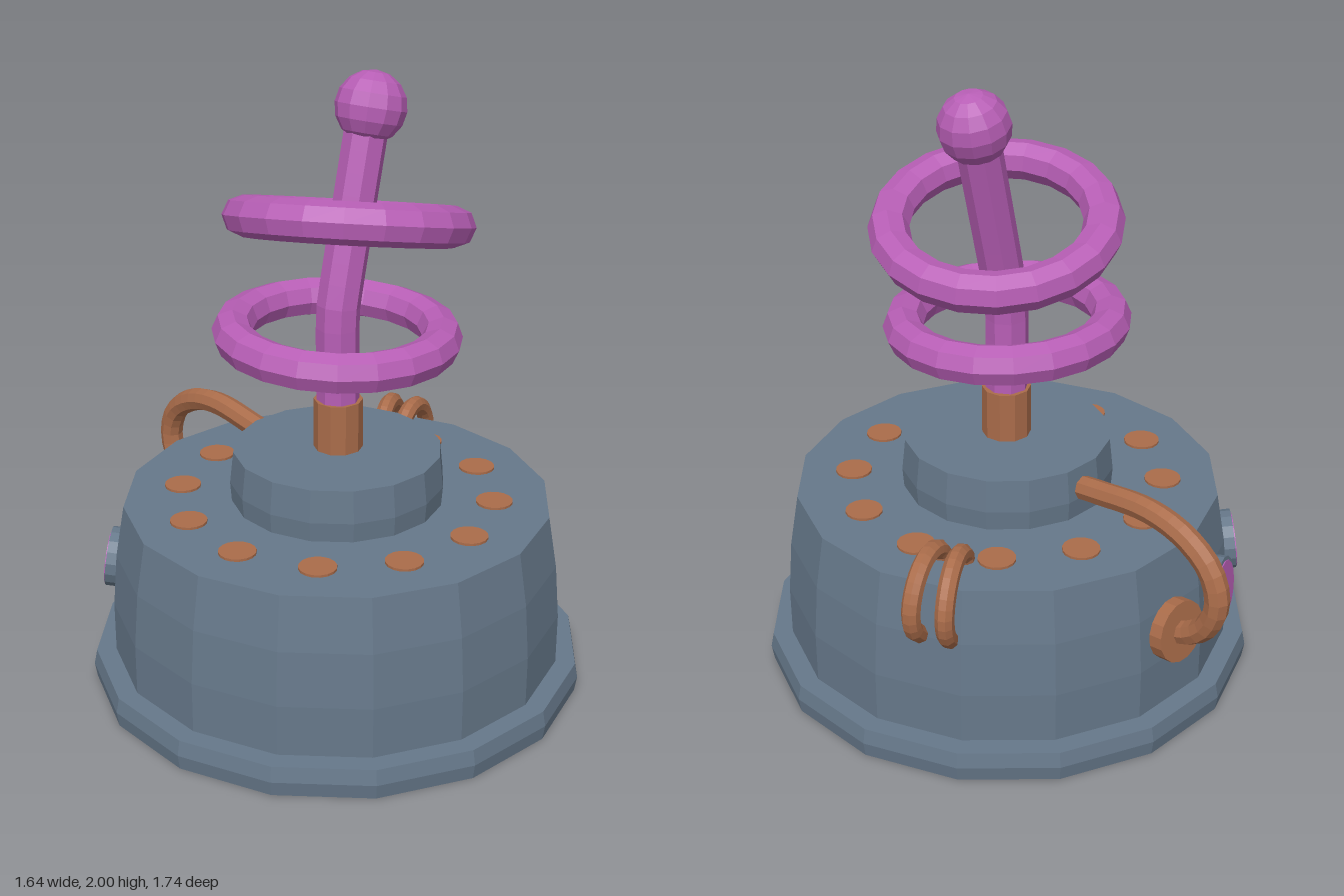
import * as THREE from 'three';

const CZ = 0.05; // z of the vertical axis of the body
const V = (x, y, z) => new THREE.Vector3(x, y, z);
const paint = (name, color) => {
  const m = new THREE.MeshStandardMaterial({ color, flatShading: true });
  m.name = name;
  return m;
};

export function createModel() {
  const model = new THREE.Group();
  model.name = 'antennaDevice';
  const slate = paint('slate', 0x66788a);
  const copper = paint('copper', 0xaa6c4a);
  const purple = paint('purple', 0xb75eb5);

  const add = (name, geometry, material, x = 0, y = 0, z = 0) => {
    const mesh = new THREE.Mesh(geometry, material);
    mesh.name = name;
    mesh.position.set(x, y, z);
    model.add(mesh);
    return mesh;
  };
  const lathe = (name, profile) =>
    add(name, new THREE.LatheGeometry(profile.map(p => new THREE.Vector2(...p)), 16), slate, 0, 0, CZ);
  const tube = (name, points, radius, segments, material) =>
    add(name, new THREE.TubeGeometry(new THREE.CatmullRomCurve3(points), segments, radius, 8), material);

  // Radial frame: direction at an angle from +x towards the back
  const radial = deg => V(Math.cos(deg * Math.PI / 180), 0, -Math.sin(deg * Math.PI / 180));
  const onRadius = (deg, path) => path.map(([d, y]) => radial(deg).multiplyScalar(d).add(V(0, y, CZ)));

  // Housing
  lathe('baseFlange', [[0, 0], [0.812, 0], [0.82, 0.05], [0.81, 0.1], [0, 0.1]]);
  lathe('body', [[0.745, 0.09], [0.745, 0.27], [0.73, 0.45], [0.7, 0.625], [0, 0.625]]);
  lathe('upperDrum', [[0.346, 0.61], [0.352, 0.69], [0.34, 0.797], [0, 0.797]]);

  // Ring of flat studs on the shoulder
  const studGeometry = new THREE.CylinderGeometry(0.06, 0.06, 0.02, 16);
  for (let i = 0; i < 12; i++) {
    const p = radial(i * 30).multiplyScalar(0.515);
    add('stud', studGeometry, copper, p.x, 0.623, p.z + CZ);
  }

  // Mast: socket, bent rod and end ball
  add('socket', new THREE.CylinderGeometry(0.08, 0.08, 0.18, 10), copper, 0.005, 0.875, CZ);
  tube('bentRod', [V(0.003, 0.93, CZ), V(0.003, 1.27, CZ), V(0.016, 1.33, CZ), V(0.165, 1.89, CZ)],
    0.07, 14, purple);
  const ball = add('endBall', new THREE.SphereGeometry(0.114, 12, 8), purple, 0.165, 1.888, CZ + 0.003);
  ball.rotation.z = -0.26;

  // Floating rings, each turned to its own normal
  const ringGeometry = new THREE.TorusGeometry(0.333, 0.065, 8, 20);
  const ring = (name, x, y, normal) =>
    add(name, ringGeometry, purple, x, y, CZ + 0.003)
      .quaternion.setFromUnitVectors(V(0, 0, 1), normal.normalize());
  ring('lowerRing', -0.006, 1.195, V(0.01, 1, 0.035));
  ring('upperRing', 0.052, 1.548, V(0.264, 1, -0.129));

  // Long hose from the drum to a collar on the back wall
  const hoseAngle = 78.75;
  tube('hose', onRadius(hoseAngle, [[0.3, 0.713], [0.42, 0.73], [0.62, 0.75], [0.76, 0.72], [0.865, 0.645],
    [0.9, 0.54], [0.86, 0.435], [0.79, 0.38], [0.72, 0.36]]), 0.04, 24, copper);

  // Discs lying on the wall facets
  const disc = (name, deg, d, radius, thickness, material) => {
    const [p] = onRadius(deg, [[d, 0.37]]);
    add(name, new THREE.CylinderGeometry(radius, radius, thickness, 16), material, p.x, p.y, p.z)
      .quaternion.setFromUnitVectors(V(0, 1, 0), radial(deg).add(V(0, 0.12, 0)).normalize());
  };
  disc('hoseCollar', hoseAngle, 0.74, 0.102, 0.06, copper);
  for (const deg of [101.25, 123.75]) {
    disc('portholeRim', deg, 0.735, 0.1, 0.06, slate);
    disc('portholeGlass', deg, 0.766, 0.09, 0.006, purple);
  }

  // Two short cable loops over the shoulder
  for (const deg of [11.5, 19.5]) {
    tube('cableLoop', onRadius(deg, [[0.525, 0.59], [0.54, 0.65], [0.6, 0.687], [0.67, 0.685], [0.735, 0.64],
      [0.768, 0.57], [0.757, 0.5], [0.71, 0.45]]), 0.03, 18, copper);
  }
  return model;
}
